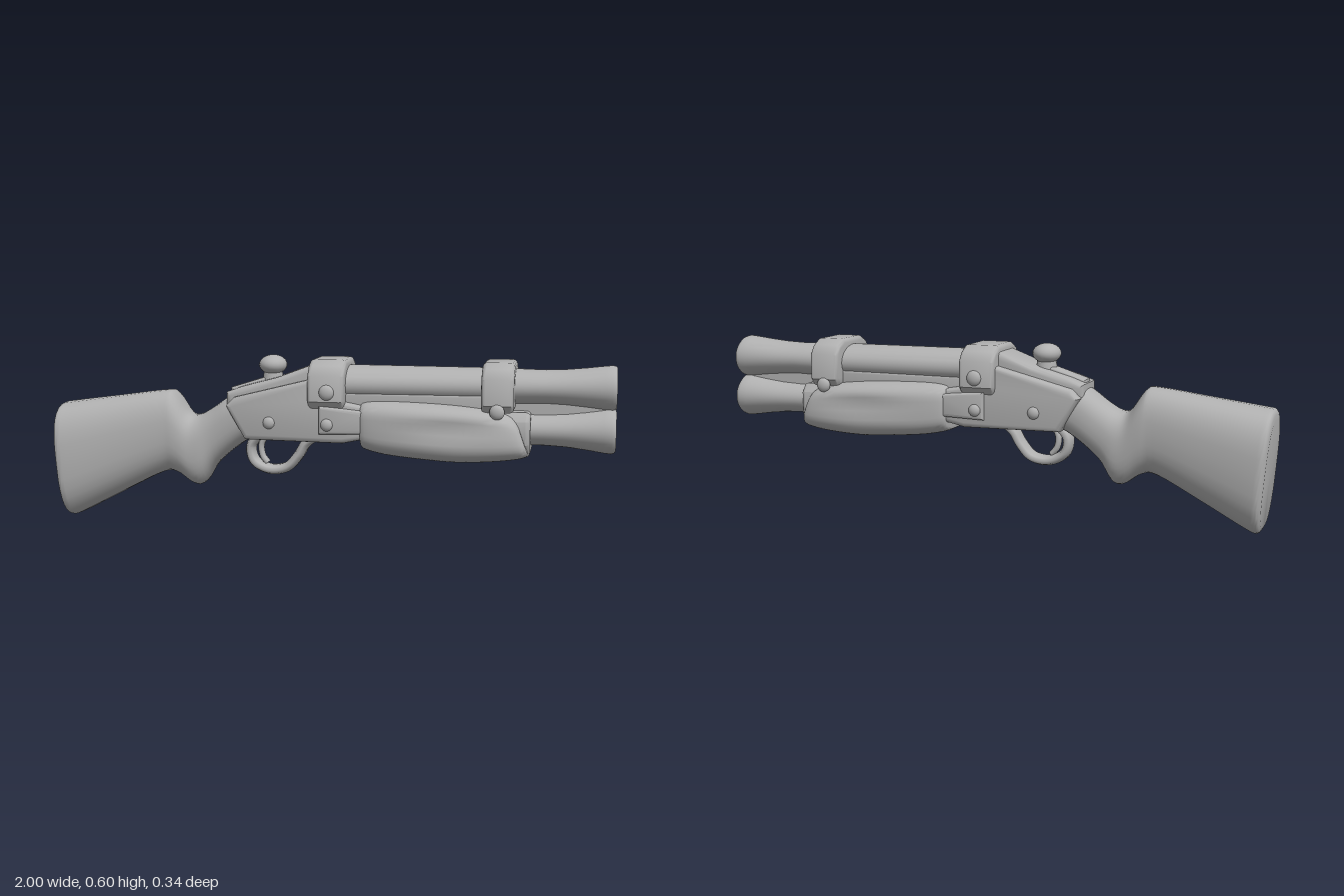
import * as THREE from 'three';
import { toCreasedNormals } from 'three/addons/utils/BufferGeometryUtils.js';

const steel = new THREE.MeshStandardMaterial({ color: 0xb0b0b0 });
steel.name = 'plain grey';

export function createModel() {
  const model = new THREE.Group();
  model.name = 'shotgun';

  const add = (name, geo, crease = 0.7) => {
    const mesh = new THREE.Mesh(crease ? toCreasedNormals(geo, crease) : geo, steel);
    mesh.name = name;
    model.add(mesh);
    return mesh;
  };

  // Loft along x; station = [xTop, yTop, xBottom, yBottom, halfWidth, roundness (2 = ellipse)]
  function loft(stations, sub = 1, sides = 32, pinch = () => 1) {
    const rings = [];
    const at = i => stations[Math.min(Math.max(i, 0), stations.length - 1)];
    for (let i = 0; i < stations.length - 1; i++) {
      for (let k = 0; k < sub; k++) {
        const t = k / sub;
        rings.push(at(i).map((p1, c) => {
          const p0 = at(i - 1)[c], p2 = at(i + 1)[c], p3 = at(i + 2)[c];
          return p1 + 0.5 * t * (p2 - p0 + t * (2 * p0 - 5 * p1 + 4 * p2 - p3 + t * (3 * (p1 - p2) + p3 - p0)));
        }));
      }
    }
    rings.push(at(stations.length - 1));
    const pos = [], index = [];
    const pow = (v, n) => Math.sign(v) * Math.abs(v) ** (2 / n);
    for (const [xt, yt, xb, yb, w, n] of rings) {
      for (let j = 0; j < sides; j++) {
        const a = (j / sides) * Math.PI * 2;
        const f = (pow(Math.sin(a), n) + 1) / 2;
        const x = xb + (xt - xb) * f, y = yb + (yt - yb) * f;
        pos.push(x, y, w * pow(Math.cos(a), n) * pinch(x, y));
      }
    }
    for (let i = 0; i < rings.length - 1; i++) {
      for (let j = 0; j < sides; j++) {
        const a = i * sides + j, b = i * sides + (j + 1) % sides;
        index.push(a, a + sides, b + sides, a, b + sides, b);
      }
    }
    // End caps
    [0, rings.length - 1].forEach((r, end) => {
      const [xt, yt, xb, yb] = rings[r];
      const centre = pos.length / 3;
      pos.push((xt + xb) / 2, (yt + yb) / 2, 0);
      for (let j = 0; j < sides; j++) {
        const a = r * sides + j, b = r * sides + (j + 1) % sides;
        if (end) index.push(centre, b, a); else index.push(centre, a, b);
      }
    });
    const geo = new THREE.BufferGeometry();
    geo.setAttribute('position', new THREE.Float32BufferAttribute(pos, 3));
    geo.setIndex(index);
    return geo;
  }

  // Bevelled plate from an outline, centred on its depth
  function plate(points, depth, bevel) {
    const shape = new THREE.Shape(points.map(p => new THREE.Vector2(...p)));
    return new THREE.ExtrudeGeometry(shape, {
      depth: depth - 2 * bevel, bevelEnabled: true, bevelThickness: bevel,
      bevelSize: bevel, bevelOffset: -bevel, bevelSegments: 3,
    }).translate(0, 0, bevel - depth / 2);
  }

  // Symmetrical collar: half outline in (z, y), running from x0 to x1
  function collar(name, half, x0, x1, bevel = 0.015) {
    const outline = [...half, ...half.map(([z, y]) => [-z, y]).reverse()].reverse();
    add(name, plate(outline, x1 - x0, bevel).rotateY(Math.PI / 2).translate((x0 + x1) / 2, 0, 0));
  }

  // Butt stock and wrist
  add('stock', loft([
    [-0.998, 0.385, -0.968, 0.02, 0.125, 2.8],
    [-0.99, 0.415, -0.955, 0.003, 0.145, 2.8],
    [-0.95, 0.424, -0.92, 0.012, 0.145, 2.7],
    [-0.78, 0.447, -0.77, 0.09, 0.122, 2.6],
    [-0.6, 0.471, -0.61, 0.17, 0.1, 2.5],
    [-0.56, 0.462, -0.55, 0.17, 0.097, 2.5],
    [-0.51, 0.393, -0.49, 0.132, 0.092, 2.5],
    [-0.47, 0.386, -0.45, 0.14, 0.09, 2.5],
    [-0.42, 0.412, -0.4, 0.215, 0.086, 2.5],
    [-0.34, 0.463, -0.29, 0.3, 0.092, 2.6],
    [-0.25, 0.47, -0.2, 0.33, 0.092, 2.6],
  ], 4));

  // Barrels, each with a flared muzzle and a bore
  function barrel(name, y, start, body, muzzle, bore) {
    const ring = (x, [ry, rz]) => [x, y + ry, x, y - ry, rz, 2];
    const mix = t => body.map((v, i) => v + (muzzle[i] - v) * t);
    add(name, loft([
      ...start.map(([x, ry, rz]) => ring(x, [ry, rz])),
      ring(0.76, body), ring(0.83, mix(0.15)), ring(0.9, mix(0.5)),
      ring(0.96, mix(0.88)), ring(0.985, muzzle), ring(0.996, mix(0.85)),
      ring(1, mix(0.6)), ring(1, bore.map(v => v + 0.008)), ring(0.99, bore),
      ring(0.85, bore.map(v => v * 0.85)),
    ], 1, 40));
  }
  barrel('upperBarrel', 0.511, [[0, 0.064, 0.1], [0.6, 0.062, 0.097]], [0.058, 0.083], [0.077, 0.09], [0.05, 0.057]);
  barrel('lowerBarrel', 0.365, [[0.05, 0.058, 0.08]], [0.056, 0.083], [0.08, 0.094], [0.055, 0.06]);

  // Rib joining the barrels
  add('barrelRib', new THREE.BoxGeometry(0.93, 0.08, 0.06).translate(0.5, 0.44, 0), 0);
  add('barrelRail', plate([[0.05, 0.42], [0.62, 0.42], [0.62, 0.49], [0.05, 0.49]], 0.18, 0.015));

  // Receiver body with a sloping top
  add('receiver', plate([[-0.35, 0.43], [-0.28, 0.312], [0.07, 0.308], [0.15, 0.325], [0.15, 0.44],
    [-0.02, 0.47], [-0.02, 0.535], [-0.32, 0.46]], 0.23, 0.018));
  add('receiverTop', plate([[-0.355, 0.43], [-0.355, 0.475], [-0.3, 0.495], [-0.17, 0.53], [-0.05, 0.575],
    [0, 0.575], [0, 0.4], [-0.3, 0.4]], 0.16, 0.018));
  for (const side of [-1, 1]) {
    add('receiverSideBlock', plate([[-0.01, 0.34], [0.145, 0.345], [0.145, 0.425], [-0.01, 0.44]], 0.05, 0.012)
      .translate(0, 0, side * 0.107));
  }

  // Clamps around the barrels
  const bandHalf = [[0.072, 0.597], [0.11, 0.578], [0.135, 0.545], [0.137, 0.455], [0.115, 0.43]];
  collar('rearBand', bandHalf, -0.05, 0.08);
  collar('frontBand', bandHalf, 0.55, 0.66);
  collar('lowerCollar', [[0.08, 0.43], [0.105, 0.4], [0.105, 0.32], [0.07, 0.275]], 0.6, 0.715);

  // Sliding foregrip with scooped sides
  const scoop = (x, y) => 1 - 0.09 * Math.exp(-(((x - 0.45) / 0.18) ** 2) - (((y - 0.375) / 0.03) ** 2));
  add('foregrip', loft([
    [0.132, 0.44, 0.135, 0.3, 0.115, 3.6],
    [0.14, 0.456, 0.145, 0.285, 0.135, 3.6],
    [0.2, 0.462, 0.22, 0.268, 0.152, 3.6],
    [0.32, 0.46, 0.34, 0.257, 0.167, 3.6],
    [0.46, 0.453, 0.47, 0.25, 0.168, 3.6],
    [0.58, 0.44, 0.6, 0.256, 0.16, 3.4],
    [0.65, 0.42, 0.69, 0.268, 0.142, 3.2],
    [0.67, 0.4, 0.712, 0.282, 0.12, 3],
  ], 4, 48, scoop));

  // Hammer knob on a short stem and its tail
  add('hammerStem', new THREE.CylinderGeometry(0.028, 0.042, 0.09, 16).translate(-0.2, 0.535, 0));
  add('hammerKnob', new THREE.SphereGeometry(1, 20, 14).scale(0.05, 0.035, 0.055).translate(-0.2, 0.57, 0), 0);
  add('hammerTail', plate([[-0.35, 0.46], [-0.35, 0.487], [-0.22, 0.528], [-0.2, 0.48]], 0.06, 0.01));

  // Trigger guard and trigger
  const tube = (name, pts, radius, widen) => add(name, new THREE.TubeGeometry(
    new THREE.CatmullRomCurve3(pts.map(([x, y]) => new THREE.Vector3(x, y, 0))), 36, radius, 10).scale(1, 1, widen), 0);
  tube('triggerGuard', [[-0.25, 0.32], [-0.282, 0.275], [-0.27, 0.222], [-0.215, 0.193], [-0.15, 0.202],
    [-0.108, 0.245], [-0.08, 0.29], [-0.03, 0.325]], 0.018, 2.1);
  tube('trigger', [[-0.22, 0.33], [-0.245, 0.28], [-0.24, 0.24], [-0.222, 0.215]], 0.011, 1.6);

  // Rounded bolt heads on both sides: x, y, z, radius
  for (const [x, y, z, r] of [[-0.19, 0.375, 0.112, 0.022], [0.02, 0.375, 0.13, 0.022],
    [0.02, 0.488, 0.135, 0.027], [0.605, 0.435, 0.135, 0.026]]) {
    for (const side of [-1, 1]) {
      add('bolt', new THREE.SphereGeometry(1, 16, 10).scale(r, r, 0.016).translate(x, y, side * z), 0);
    }
  }
  return model;
}
